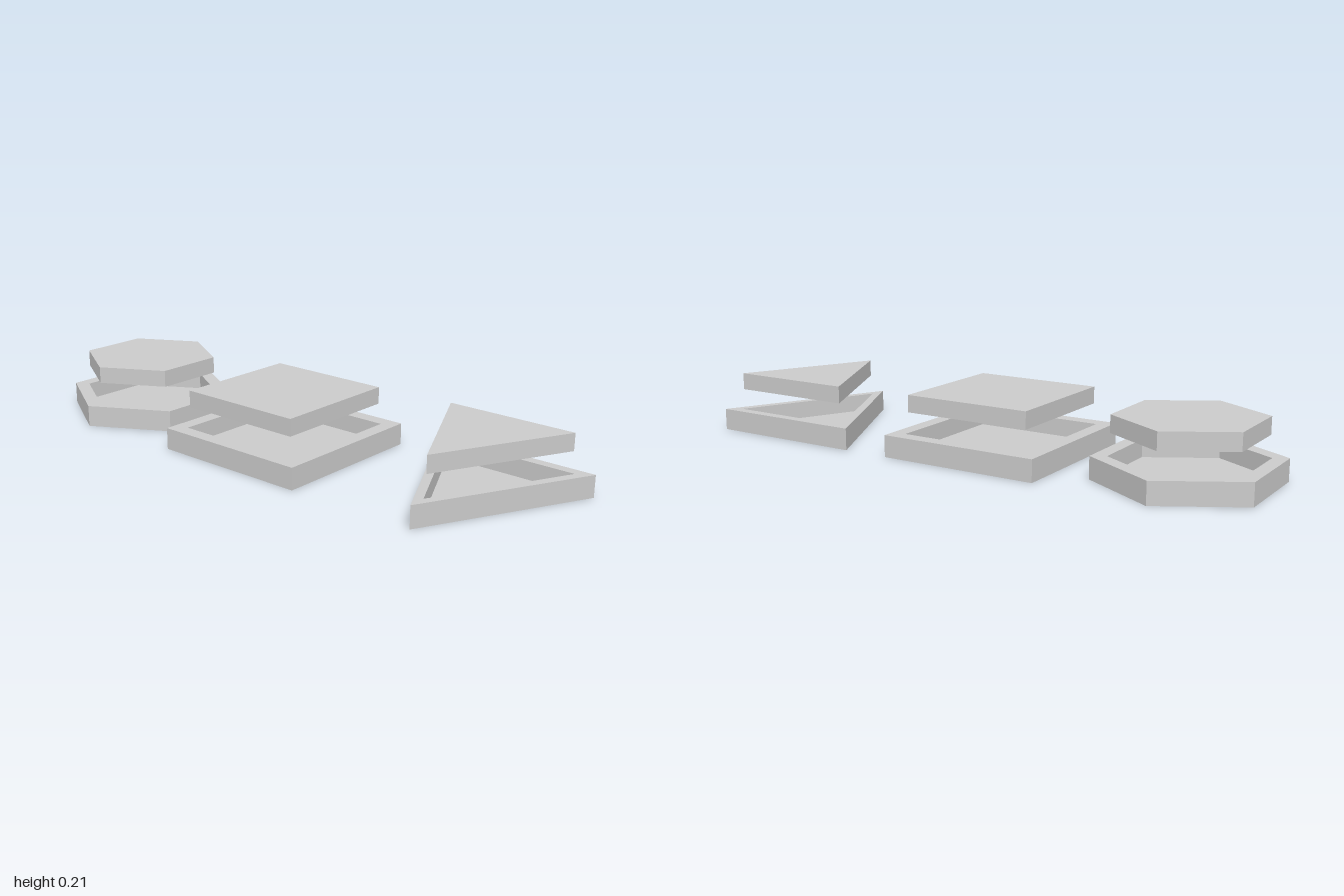
import * as THREE from 'three';

const material = new THREE.MeshStandardMaterial({ color: 0xcccccc, flatShading: true });

// Outlines as [x, z] points around each piece's own centre
const hexagon = (r) => Array.from({ length: 6 }, (_, i) => {
  const a = Math.PI / 6 + (i * Math.PI) / 3;
  return [r * Math.cos(a), r * Math.sin(a)];
});
const square = (h) => [[-h, -h], [h, -h], [h, h], [-h, h]];
const triangle = (w, back, tip) => [[-w, back], [w, back], [0, tip]];

const grow = (points, s, cz) => points.map(([x, z]) => [x * s, cz + (z - cz) * s]);
const toVectors = (points) => points.map(([x, z]) => new THREE.Vector2(x, z));

// Upright prism between two heights, optionally with an opening through it
function prism(name, outline, bottom, top, opening) {
  const shape = new THREE.Shape(toVectors(outline));
  if (opening) shape.holes.push(new THREE.Path(toVectors(opening)));
  const geometry = new THREE.ExtrudeGeometry(shape, { depth: top - bottom, bevelEnabled: false });
  geometry.rotateX(Math.PI / 2).translate(0, top, 0);
  const mesh = new THREE.Mesh(geometry, material);
  mesh.name = name;
  return mesh;
}

export function createModel() {
  const model = new THREE.Group();
  model.name = 'shapeTrays';
  const trayTop = 0.077, floorTop = 0.015, lidBottom = 0.152, lidTop = 0.212;

  const pieces = [
    { name: 'hexagon', x: -0.729, cz: 0, outer: hexagon(0.313), lid: hexagon(0.25) },
    { name: 'square', x: -0.037, cz: 0, outer: square(0.29), lid: square(0.232) },
    { name: 'triangle', x: 0.711, cz: -0.108, outer: triangle(0.289, -0.29, 0.288), lid: triangle(0.229, -0.25, 0.213) },
  ];

  for (const { name, x, cz, outer, lid } of pieces) {
    const recess = grow(lid, 1.03, cz);
    const group = new THREE.Group();
    group.name = name + 'Set';
    group.position.x = x;
    group.add(
      prism(name + 'TrayRim', outer, 0, trayTop, recess),
      prism(name + 'TrayFloor', recess, 0, floorTop),
      prism(name + 'Insert', lid, lidBottom, lidTop), // hovers above its recess
    );
    model.add(group);
  }
  return model;
}
